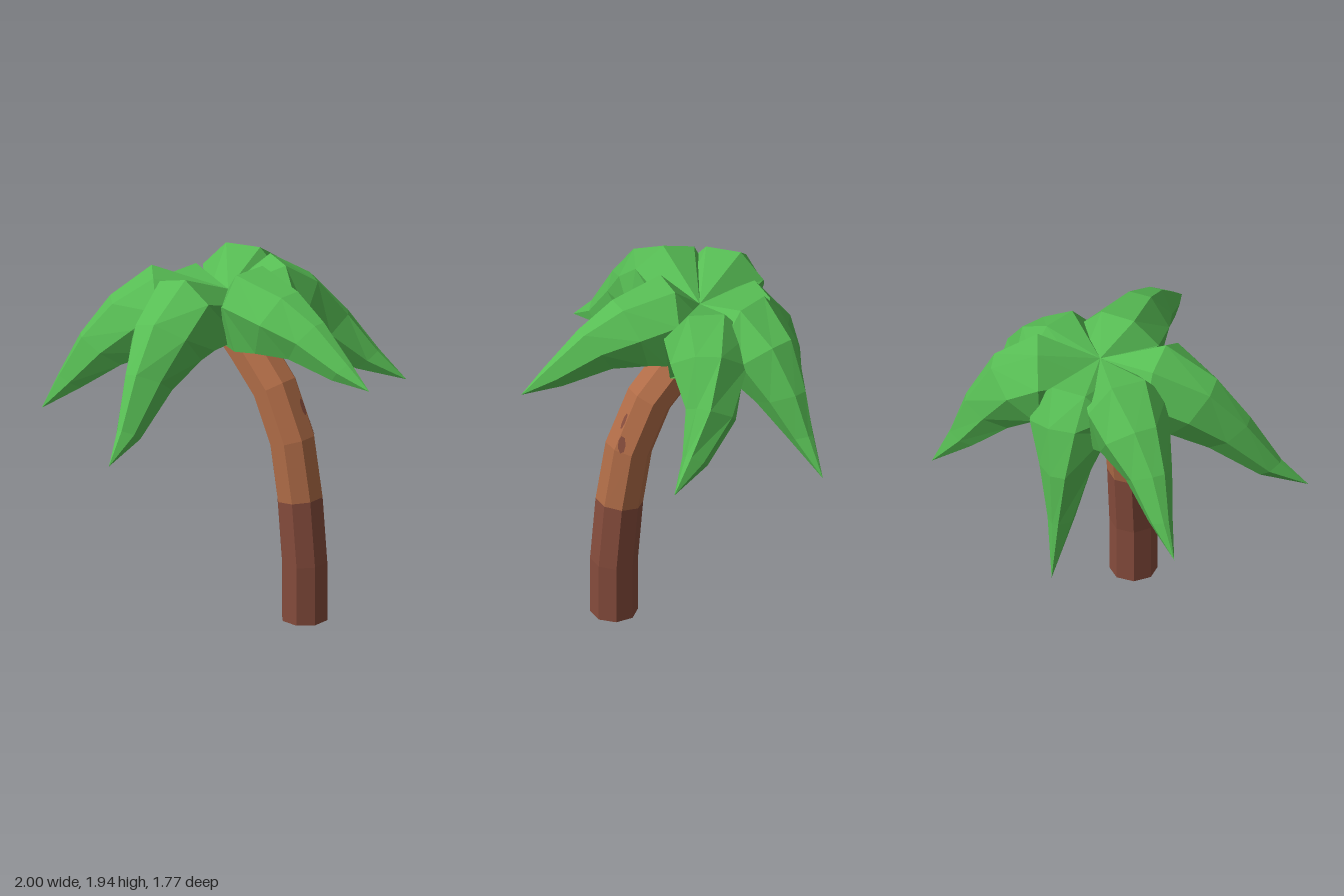
import * as THREE from 'three';

const V = (x, y, z) => new THREE.Vector3(x, y, z);

function material(name, color) {
  const m = new THREE.MeshStandardMaterial({ color, flatShading: true });
  m.name = name;
  return m;
}

// Joins rings of points (each counter-clockwise seen from the end) into a faceted skin
function loft(rings, capStart, capEnd) {
  const out = [];
  const tri = (a, b, c) => {
    if (a.distanceTo(b) < 1e-5 || b.distanceTo(c) < 1e-5 || a.distanceTo(c) < 1e-5) return;
    for (const p of [a, b, c]) out.push(p.x, p.y, p.z);
  };
  const n = rings[0].length;
  for (let i = 0; i < rings.length - 1; i++) {
    const r = rings[i], s = rings[i + 1];
    for (let k = 0; k < n; k++) {
      const l = (k + 1) % n;
      tri(r[k], r[l], s[l]);
      tri(r[k], s[l], s[k]);
    }
  }
  const first = rings[0], last = rings[rings.length - 1];
  for (let k = 1; k < n - 1; k++) {
    if (capStart) tri(first[0], first[k + 1], first[k]);
    if (capEnd) tri(last[0], last[k], last[k + 1]);
  }
  const g = new THREE.BufferGeometry();
  g.setAttribute('position', new THREE.Float32BufferAttribute(out, 3));
  g.computeVertexNormals();
  return g;
}

// Eight-sided rings set square to the bending trunk path
function trunkRings() {
  const path = [[0, 0.355], [0.33, 0.355], [0.69, 0.322], [1.01, 0.265],
    [1.28, 0.14], [1.47, -0.04], [1.6, -0.18]].map(([y, z]) => V(0.16, y, z));
  const radius = 0.12 / Math.cos(Math.PI / 8);
  const u = V(1, 0, 0);
  return path.map((p, i) => {
    const d = i === 0 ? V(0, 1, 0)
      : path[Math.min(i + 1, path.length - 1)].clone().sub(path[i - 1]).normalize();
    const v = d.clone().cross(u);
    return Array.from({ length: 8 }, (_, k) => {
      const a = (k + 0.5) * Math.PI / 4;
      return p.clone().addScaledVector(u, radius * Math.cos(a)).addScaledVector(v, radius * Math.sin(a));
    });
  });
}

const CROWN = V(0.14, 1.77, -0.18);

// Fat, six-sided frond tapering along its ridge; the last ridge point is the tip
function frond(ridge, roll, fullness) {
  const pts = ridge.map(p => V(...p));
  const half = [0.23, 0.19, 0.12, 0.06];
  const flat = [0.098, 0.064, 0.036, 0.015];
  const depth = [0.4, 0.34, 0.25, 0.13];
  const shoulder = [0.36, 0.42, 0.45, 0.45];
  const rings = [];
  for (let i = 0; i < 4; i++) {
    const t = pts[i + 1].clone().sub(i ? pts[i - 1] : CROWN).normalize();
    const side = V(0, 1, 0).cross(t).normalize();
    const down = t.clone().cross(side).negate();
    // Broad root tucked in under the neighbouring fronds
    if (i === 0) {
      const root = (s, y) => CROWN.clone().setY(y).addScaledVector(side, s);
      rings.push([CROWN, CROWN, root(-0.12, 1.7), root(-0.08, 1.5), root(0.08, 1.5), root(0.12, 1.7)]);
    }
    side.applyAxisAngle(t, roll);
    down.applyAxisAngle(t, roll);
    const k = i ? fullness : 1;
    const at = (s, d) => pts[i].clone().addScaledVector(side, s * k).addScaledVector(down, d * depth[i] * k);
    const w = half[i], f = flat[i], b = w * 0.85, h = shoulder[i];
    rings.push([at(f, 0), at(-f, 0), at(-w, h), at(-b, 1), at(b, 1), at(w, h)]);
  }
  rings.push(Array(6).fill(pts[4]));
  return loft(rings, false, false);
}

export function createModel() {
  const model = new THREE.Group();
  model.name = 'palmTree';
  const darkBark = material('darkBark', 0x864c3c);
  const lightBark = material('lightBark', 0xb06c47);
  const leaf = material('leafGreen', 0x57bd54);
  const add = (name, geometry, mat) => {
    const mesh = new THREE.Mesh(geometry, mat);
    mesh.name = name;
    model.add(mesh);
    return mesh;
  };

  // Trunk in two colours
  const rings = trunkRings();
  add('lowerTrunk', loft(rings.slice(0, 3), true, false), darkBark);
  add('upperTrunk', loft(rings.slice(2), false, true), lightBark);

  // Small dark marks on the bark
  const spots = [
    { p: V(0.195, 1.2, 0.309), n: V(0, 0.42, 0.907), w: 0.014 },
    { p: V(0.228, 1.08, 0.343), n: V(0.707, 0.297, 0.641), w: 0.022 },
  ];
  for (const { p, n, w } of spots) {
    const spot = add('barkMark', new THREE.CircleGeometry(1, 7), darkBark);
    spot.scale.set(w, 0.05, 1);
    spot.position.copy(p).addScaledVector(n, 0.004);
    spot.lookAt(spot.position.clone().add(n));
  }

  // Roll, fullness, then the ridge line from the hump out to the tip, for each frond
  const fronds = {
    rightFrond: [0.3, 1, [-0.23, 1.913, -0.25], [-0.52, 1.76, -0.19], [-0.7, 1.54, -0.13], [-0.86, 1.28, -0.07], [-1, 1.13, -0.02]],
    backRightFrond: [0, 1, [-0.14, 1.875, -0.475], [-0.3, 1.72, -0.63], [-0.42, 1.52, -0.74], [-0.5, 1.29, -0.83], [-0.57, 1.1, -0.89]],
    backFrond: [0, 1.17, [0.18, 1.78, -0.54], [0.17, 1.61, -0.67], [0.16, 1.36, -0.755], [0.16, 1.07, -0.79], [0.16, 0.75, -0.84]],
    backLeftFrond: [0, 1.05, [0.44, 1.89, -0.34], [0.68, 1.75, -0.39], [0.82, 1.5, -0.43], [0.9, 1.27, -0.45], [1, 1.05, -0.47]],
    frontLeftFrond: [0, 1.1, [0.42, 1.885, -0.07], [0.61, 1.75, 0.02], [0.76, 1.53, 0.13], [0.85, 1.32, 0.27], [0.93, 1.16, 0.4]],
    frontFrond: [0, 1, [0.11, 1.935, 0], [0.1, 1.88, 0.3], [0.095, 1.77, 0.52], [0.09, 1.6, 0.74], [0.09, 1.48, 0.885]],
  };
  for (const [name, [roll, fullness, ...ridge]] of Object.entries(fronds)) {
    add(name, frond(ridge, roll, fullness), leaf);
  }

  return model;
}
